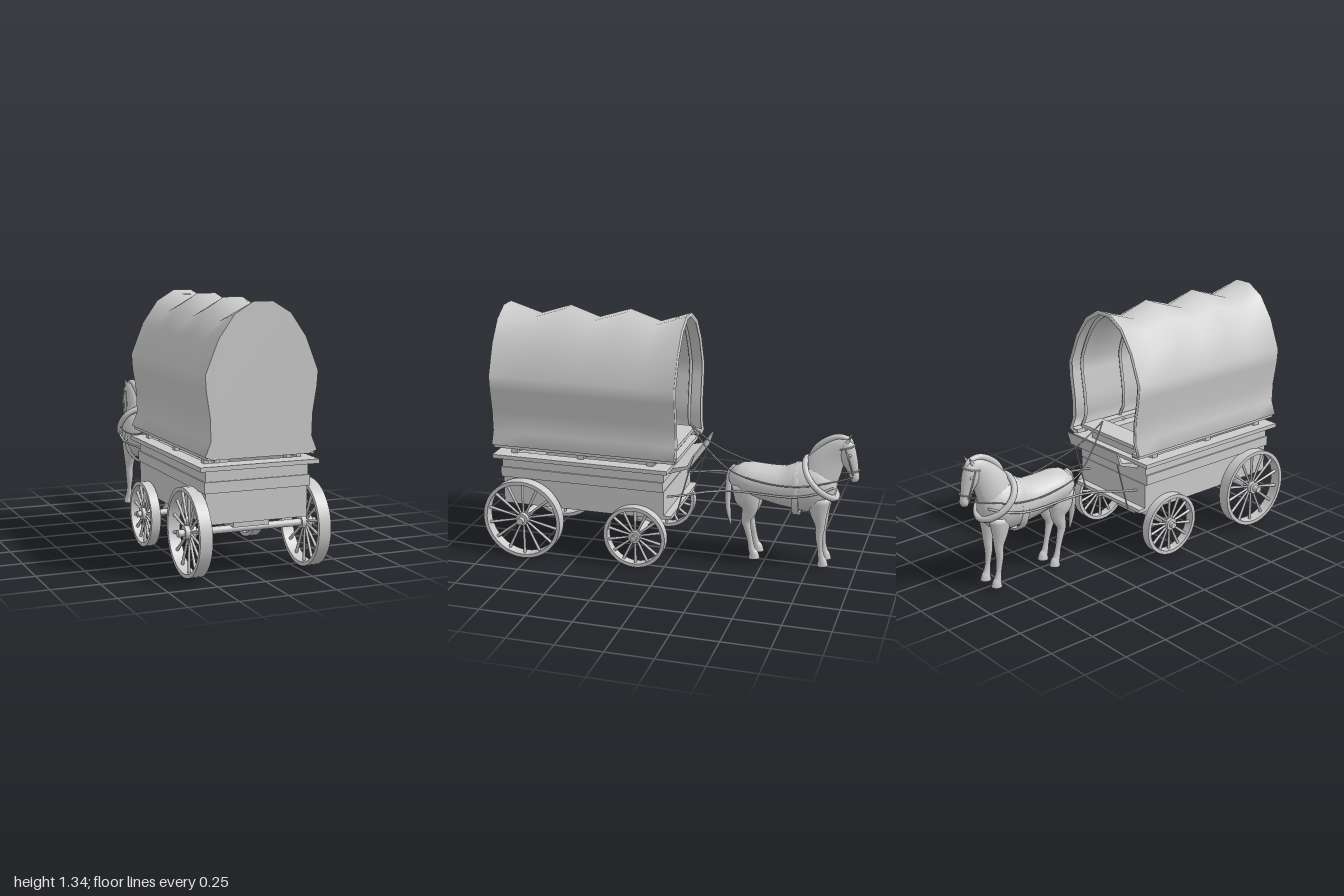
import * as THREE from 'three';

const V = (x, y, z) => new THREE.Vector3(x, y, z);
const mat = new THREE.MeshStandardMaterial({ color: 0xcccccc });
const thin = new THREE.MeshStandardMaterial({ color: 0xcccccc, side: THREE.DoubleSide });

function add(parent, name, geo, x = 0, y = 0, z = 0, material = mat) {
  const m = new THREE.Mesh(geo, material);
  m.name = name;
  m.position.set(x, y, z);
  parent.add(m);
  return m;
}

// box given by its limits
function box(parent, name, x0, x1, y0, y1, z0, z1) {
  return add(parent, name, new THREE.BoxGeometry(x1 - x0, y1 - y0, z1 - z0),
    (x0 + x1) / 2, (y0 + y1) / 2, (z0 + z1) / 2);
}

// cylinder along x
function rod(parent, name, r, x0, x1, y, z, sides = 12) {
  const g = new THREE.CylinderGeometry(r, r, x1 - x0, sides).rotateZ(Math.PI / 2);
  return add(parent, name, g, (x0 + x1) / 2, y, z);
}

function tube(parent, name, pts, r, closed = false, sides = 6) {
  const c = new THREE.CatmullRomCurve3(pts.map(p => V(...p)), closed);
  return add(parent, name, new THREE.TubeGeometry(c, pts.length * 6, r, sides, closed));
}

// surface through rows of points
function skin(rows, closed) {
  const n = rows[0].length, idx = [];
  for (let i = 0; i < rows.length - 1; i++)
    for (let j = 0; j < (closed ? n : n - 1); j++) {
      const k = (j + 1) % n, a = i * n + j, b = i * n + k;
      idx.push(a, b, a + n, b, b + n, a + n);
    }
  const g = new THREE.BufferGeometry().setFromPoints(rows.flat());
  g.setIndex(idx);
  g.computeVertexNormals();
  return g;
}

// rounded body swept in the side plane; each station is [z, y, half width, half depth]
function loft(stations, x = 0, sides = 16) {
  const path = new THREE.CatmullRomCurve3(stations.map(s => V(0, s[1], s[0])));
  const size = new THREE.CatmullRomCurve3(stations.map(s => V(s[2], s[3], 0)));
  const rows = [], steps = (stations.length - 1) * 3;
  for (let i = 0; i <= steps; i++) {
    const t = i / steps, c = path.getPoint(t), s = size.getPoint(t);
    const n = path.getTangent(t).cross(V(1, 0, 0)).normalize();
    const ring = k => Array.from({ length: sides }, (_, j) => {
      const a = j / sides * Math.PI * 2;
      return V(x + c.x + s.x * k * Math.cos(a), c.y, c.z).addScaledVector(n, s.y * k * Math.sin(a));
    });
    if (i === 0) rows.push(ring(0));
    rows.push(ring(1));
    if (i === steps) rows.push(ring(0));
  }
  return skin(rows, true);
}

function wheel(name, r, spokes, w) {
  const g = new THREE.Group();
  g.name = name;
  const h = w / 2, t = 0.02;
  const rim = [[r - t, -h], [r, -h], [r, -h], [r, h], [r, h], [r - t, h], [r - t, h], [r - t, -h]];
  const rimGeo = new THREE.LatheGeometry(rim.map(p => new THREE.Vector2(...p)), 40).rotateZ(Math.PI / 2);
  add(g, 'rim', rimGeo, 0, 0, 0, thin);
  rod(g, 'hub', 0.034, -h * 0.9, h * 0.9, 0, 0, 16);
  for (let i = 0; i < spokes; i++) {
    const s = new THREE.CylinderGeometry(0.0085, 0.006, r - t - 0.025, 8)
      .translate(0, (r - t + 0.025) / 2, 0).rotateX(i / spokes * Math.PI * 2);
    add(g, 'spoke', s);
  }
  return g;
}

// half outline of the cover, bottom to top
const outline = [[0.25, 0.603], [0.292, 0.618], [0.263, 0.69], [0.266, 0.8], [0.287, 0.93],
  [0.292, 1.005], [0.226, 1.17], [0.145, 1.285], [0.05, 1.342]];
function section(z, sag = 0, inset = 0) {
  const half = outline.map(([x, y]) => {
    const k = Math.max(0, (y - 1) / 0.34);
    return [x - inset * (1 - 0.5 * k), y - (sag + inset) * k];
  });
  return [...half.map(([x, y]) => V(-x, y, z)), ...half.reverse().map(([x, y]) => V(x, y, z))];
}

function makeCover(wagon) {
  const zs = [0.967, 0.785, 0.615, 0.45, 0.275, 0.105, -0.062];
  const rows = zs.map((z, i) => section(z, i % 2 ? 0.055 : 0));
  add(wagon, 'canvasCover', skin(rows, false), 0, 0, 0, thin);
  const end = new THREE.Shape(section(0).map(p => new THREE.Vector2(p.x, p.y)));
  add(wagon, 'canvasEnd', new THREE.ShapeGeometry(end), 0, 0, 0.966, thin);
  // turned hem round the open end
  add(wagon, 'canvasHem', skin([section(-0.062), section(-0.072, 0, 0.006),
    section(-0.062, 0, 0.022)], false), 0, 0, 0, thin);
  for (const z of [0.93, 0.615, 0.275, 0.0])
    tube(wagon, 'bow', section(z, 0, 0.03).map(p => p.toArray()), 0.009);
  for (const s of [-1, 1]) {
    const [a, b] = s < 0 ? [-0.28, -0.23] : [0.23, 0.28];
    box(wagon, 'coverRail', a, b, 0.6, 0.622, -0.062, 0.96);
    for (const z of [0.08, 0.47, 0.85]) for (const x of [0.19, 0.245])
      box(wagon, 'stake', s * x - 0.012, s * x + 0.012, 0.565, 0.603, z - 0.018, z + 0.018);
  }
}

function makeWagon(wagon) {
  // open box with thick walls, raised band and top ledge
  for (const [name, x, y0, y1, zf, zb] of [['lowerWall', 0.268, 0.285, 0.435, 0, 0.915],
    ['wallBand', 0.278, 0.435, 0.49, 0.004, 0.925], ['upperWall', 0.27, 0.49, 0.55, 0, 0.918],
    ['topLedge', 0.312, 0.548, 0.57, -0.03, 0.957]]) {
    const t = x - 0.235;
    box(wagon, name, -x, -0.235, y0, y1, zf, zb);
    box(wagon, name, 0.235, x, y0, y1, zf, zb);
    box(wagon, name, -0.235, 0.235, y0, y1, zb - t - 0.02, zb);
    box(wagon, name, -0.235, 0.235, y0, y1, zf, zf + t + 0.01);
  }
  box(wagon, 'floor', -0.268, 0.268, 0.28, 0.3, -0.04, 0.915);
  // driver's seat and sloping footboard
  box(wagon, 'seat', -0.22, 0.22, 0.635, 0.655, -0.04, 0.1);
  box(wagon, 'seatBase', -0.19, 0.19, 0.565, 0.637, 0.01, 0.08);
  const foot = new THREE.Shape([[0, 0.515], [-0.125, 0.56], [-0.15, 0.635], [-0.142, 0.635],
    [-0.112, 0.572], [0, 0.545]].map(([z, y]) => new THREE.Vector2(-z, y)));
  add(wagon, 'footboard', new THREE.ExtrudeGeometry(foot, { depth: 0.42, bevelEnabled: false })
    .rotateY(Math.PI / 2), -0.21, 0, 0, thin);
  for (const x of [-0.18, 0.18])
    tube(wagon, 'footboardBrace', [[x, 0.595, -0.13], [x, 0.28, -0.045]], 0.004);
  // running gear
  rod(wagon, 'rearAxle', 0.019, -0.36, 0.38, 0.22, 0.785);
  rod(wagon, 'frontAxle', 0.017, -0.34, 0.335, 0.178, 0.15);
  tube(wagon, 'reachPole', [[0, 0.212, 0.785], [0, 0.186, 0.56], [0, 0.178, 0.15]], 0.01);
  box(wagon, 'rearBolster', -0.085, 0.105, 0.235, 0.285, 0.74, 0.83);
  box(wagon, 'frontBolster', -0.085, 0.105, 0.19, 0.285, 0.1, 0.2);
  box(wagon, 'crossBeam', -0.21, 0.21, 0.266, 0.285, 0.1, 0.2);
  box(wagon, 'axleBlock', -0.065, 0.08, 0.172, 0.2, 0.1, 0.22);
  for (const s of [-1, 1]) {
    const rear = wheel('rearWheel', 0.222, 14, 0.064);
    rear.position.set(0.013 + s * 0.312, 0.222, 0.783);
    const front = wheel('frontWheel', 0.172, 14, 0.05);
    front.position.set(s * 0.297, 0.178, 0.152);
    wagon.add(rear, front);
  }
}

function makeHorse(horse) {
  add(horse, 'torso', loft([[-0.305, 0.5, 0.025, 0.03], [-0.33, 0.485, 0.075, 0.065],
    [-0.4, 0.462, 0.108, 0.093], [-0.5, 0.45, 0.112, 0.098], [-0.6, 0.44, 0.114, 0.112],
    [-0.7, 0.448, 0.113, 0.138], [-0.78, 0.45, 0.105, 0.138], [-0.84, 0.445, 0.08, 0.1],
    [-0.875, 0.44, 0.035, 0.045]], 0, 20));
  add(horse, 'neck', loft([[-0.76, 0.47, 0.09, 0.11], [-0.805, 0.57, 0.064, 0.1],
    [-0.845, 0.635, 0.047, 0.08], [-0.89, 0.69, 0.036, 0.053], [-0.93, 0.715, 0.026, 0.028]]));
  add(horse, 'head', loft([[-0.91, 0.735, 0.022, 0.018], [-0.917, 0.7, 0.036, 0.045],
    [-0.925, 0.655, 0.04, 0.05], [-0.947, 0.6, 0.031, 0.04], [-0.963, 0.555, 0.024, 0.028],
    [-0.97, 0.525, 0.026, 0.027], [-0.97, 0.503, 0.018, 0.018]]));
  add(horse, 'mane', loft([[-0.725, 0.6, 0.01, 0.012], [-0.765, 0.672, 0.015, 0.018],
    [-0.82, 0.718, 0.016, 0.018], [-0.88, 0.742, 0.017, 0.016], [-0.94, 0.728, 0.014, 0.012],
    [-0.955, 0.69, 0.007, 0.007]]));
  add(horse, 'tail', loft([[-0.325, 0.525, 0.014, 0.014], [-0.297, 0.49, 0.018, 0.016],
    [-0.287, 0.4, 0.021, 0.017], [-0.287, 0.28, 0.018, 0.014], [-0.303, 0.185, 0.005, 0.005]]));
  for (const s of [-1, 1]) {
    add(horse, 'hindLeg', loft([[-0.39, 0.45, 0.045, 0.075], [-0.405, 0.37, 0.045, 0.073],
      [-0.42, 0.31, 0.032, 0.046], [-0.4, 0.235, 0.021, 0.027], [-0.408, 0.195, 0.018, 0.021],
      [-0.425, 0.12, 0.014, 0.016], [-0.437, 0.065, 0.018, 0.02], [-0.447, 0.045, 0.022, 0.026],
      [-0.449, 0.02, 0.026, 0.032]], s * 0.052));
    add(horse, 'foreLeg', loft([[-0.79, 0.41, 0.045, 0.07], [-0.795, 0.32, 0.036, 0.046],
      [-0.805, 0.25, 0.024, 0.027], [-0.802, 0.19, 0.021, 0.021], [-0.81, 0.11, 0.014, 0.015],
      [-0.818, 0.065, 0.018, 0.019], [-0.824, 0.045, 0.022, 0.025],
      [-0.826, 0.02, 0.026, 0.031]], s * 0.05));
    const ear = add(horse, 'ear', new THREE.ConeGeometry(0.013, 0.055, 8), s * 0.023, 0.738, -0.935);
    ear.rotation.set(-0.5, 0, -s * 0.15);
    add(horse, 'eye', new THREE.SphereGeometry(0.008, 10, 8), s * 0.036, 0.655, -0.945);
  }
}

function makeHarness(harness) {
  const loop = (fn, n = 16) => Array.from({ length: n }, (_, i) => fn(i / n * Math.PI * 2));
  // girth: a flat belt round the ribs
  const ring = (z, k) => loop(a => V(0.119 * k * Math.cos(a), 0.432 + 0.147 * k * Math.sin(a), z), 28);
  add(harness, 'girth', skin([ring(-0.655, 0.9), ring(-0.655, 1), ring(-0.69, 1), ring(-0.69, 0.9)]
    .reverse(), true), 0, 0, 0, thin);
  // padded collar, from withers down to the chest
  tube(harness, 'collar', loop(a => [0.118 * Math.cos(a), 0.505 + 0.1 * Math.sin(a),
    -0.795 + 0.085 * Math.sin(a) + 0.025 * Math.cos(a) ** 2]), 0.017, true, 8);
  tube(harness, 'noseband', loop(a => [0.029 * Math.cos(a), 0.56 + 0.008 * Math.sin(a),
    -0.962 - 0.031 * Math.sin(a)]), 0.004, true);
  tube(harness, 'browband', loop(a => [0.04 * Math.cos(a), 0.69 + 0.012 * Math.sin(a),
    -0.918 - 0.046 * Math.sin(a)]), 0.004, true);
  for (const s of [-1, 1]) {
    tube(harness, 'cheekStrap', [[s * 0.038, 0.69, -0.92], [s * 0.041, 0.62, -0.945],
      [s * 0.03, 0.545, -0.965]], 0.004);
    tube(harness, 'rein', [[0, 0.74, -0.07], [s * 0.02, 0.695, -0.11], [s * 0.06, 0.61, -0.2],
      [s * 0.115, 0.53, -0.34], [s * 0.125, 0.485, -0.55], [s * 0.125, 0.49, -0.72],
      [s * 0.08, 0.515, -0.87], [s * 0.03, 0.532, -0.965]], 0.004);
    tube(harness, 'trace', [[s * 0.2, 0.385, 0], [s * 0.19, 0.402, -0.1], [s * 0.17, 0.422, -0.2],
      [s * 0.135, 0.43, -0.34], [s * 0.13, 0.428, -0.67], [s * 0.11, 0.455, -0.8],
      [s * 0.06, 0.475, -0.87]], 0.006);
  }
}

export function createModel() {
  const model = new THREE.Group();
  model.name = 'coveredWagon';
  const parts = { wagonBody: makeWagon, cover: makeCover, horse: makeHorse, harness: makeHarness };
  for (const [name, build] of Object.entries(parts)) {
    const g = new THREE.Group();
    g.name = name;
    g.position.x = -0.01;
    build(g);
    model.add(g);
  }
  return model;
}
